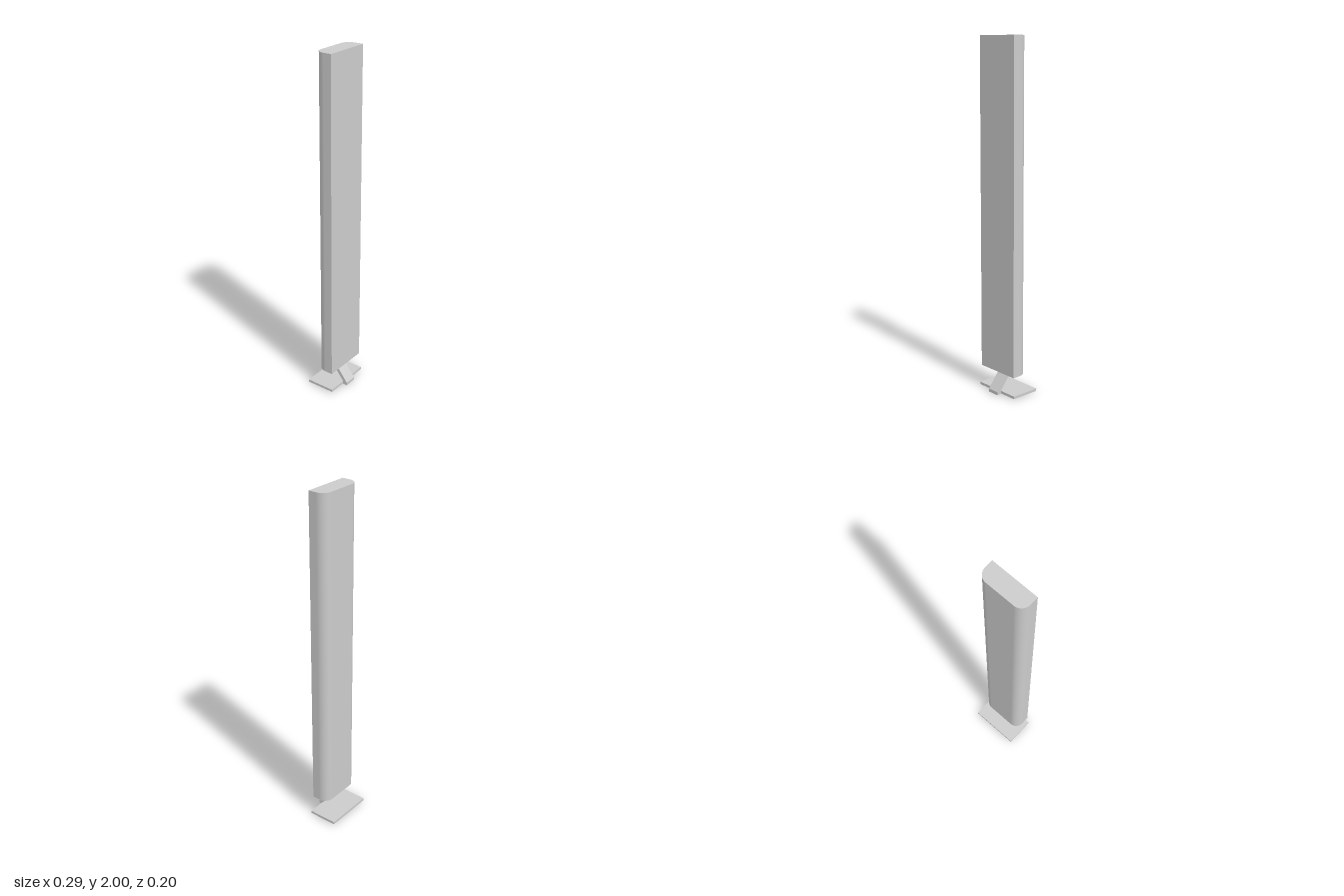
import * as THREE from 'three';

const material = new THREE.MeshStandardMaterial({ color: 0xcccccc });

function add(group, name, geometry, x, y, z) {
  const mesh = new THREE.Mesh(geometry, material);
  mesh.name = name;
  mesh.position.set(x, y, z);
  group.add(mesh);
  return mesh;
}

export function createModel() {
  const group = new THREE.Group();
  const bottom = 0.123, height = 2 - bottom;
  const cx = -0.0025, half = 0.1365;

  // Tall cabinet: flat front, rounded back corners (shape y becomes -z)
  const back = 0.036, front = -0.052, rx = 0.052, rz = 0.056;
  const s = new THREE.Shape();
  s.moveTo(-half, front);
  s.lineTo(half, front);
  s.lineTo(half, back - rz);
  s.absellipse(half - rx, back - rz, rx, rz, 0, Math.PI / 2, false);
  s.lineTo(-half + rx, back);
  s.absellipse(-half + rx, back - rz, rx, rz, Math.PI / 2, Math.PI, false);
  s.closePath();
  const cabinet = new THREE.ExtrudeGeometry(s, { depth: height, bevelEnabled: false, curveSegments: 16 });
  cabinet.rotateX(-Math.PI / 2);
  smoothSides(cabinet, half, back, rx, rz);
  add(group, 'cabinet', cabinet, cx, bottom, 0);

  // Front grille slab
  add(group, 'frontGrille', new THREE.BoxGeometry(half * 2, height, 0.014), cx, bottom + height / 2, 0.059);

  // Slanted neck with a short upright foot, drawn in (z, y) and extruded across x
  const n = new THREE.Shape([
    [0.1, 0], [0.1, 0.018], [0.016, bottom], [-0.01, bottom], [0.073, 0.018], [0.073, 0],
  ].map(([z, y]) => new THREE.Vector2(-z, y)));
  const neck = new THREE.ExtrudeGeometry(n, { depth: 0.072, bevelEnabled: false });
  neck.rotateY(Math.PI / 2);
  add(group, 'neck', neck, -0.0365, 0, 0);

  // Base plate
  add(group, 'basePlate', new THREE.BoxGeometry(0.292, 0.015, 0.173), 0, 0.0115, -0.0135);
  return group;
}

// Replace wall normals on the rounded corners with those of the ellipse
function smoothSides(geometry, half, back, rx, rz) {
  const p = geometry.attributes.position, nor = geometry.attributes.normal;
  const v = new THREE.Vector3();
  for (let i = 0; i < p.count; i++) {
    if (Math.abs(nor.getY(i)) > 0.5) continue;
    const ex = Math.abs(p.getX(i)) - (half - rx), ez = p.getZ(i) + back - rz;
    if (ex < -1e-5 || ez > 1e-5) continue;
    v.set(Math.sign(p.getX(i)) * ex / (rx * rx), 0, ez / (rz * rz)).normalize();
    nor.setXYZ(i, v.x, v.y, v.z);
  }
}
